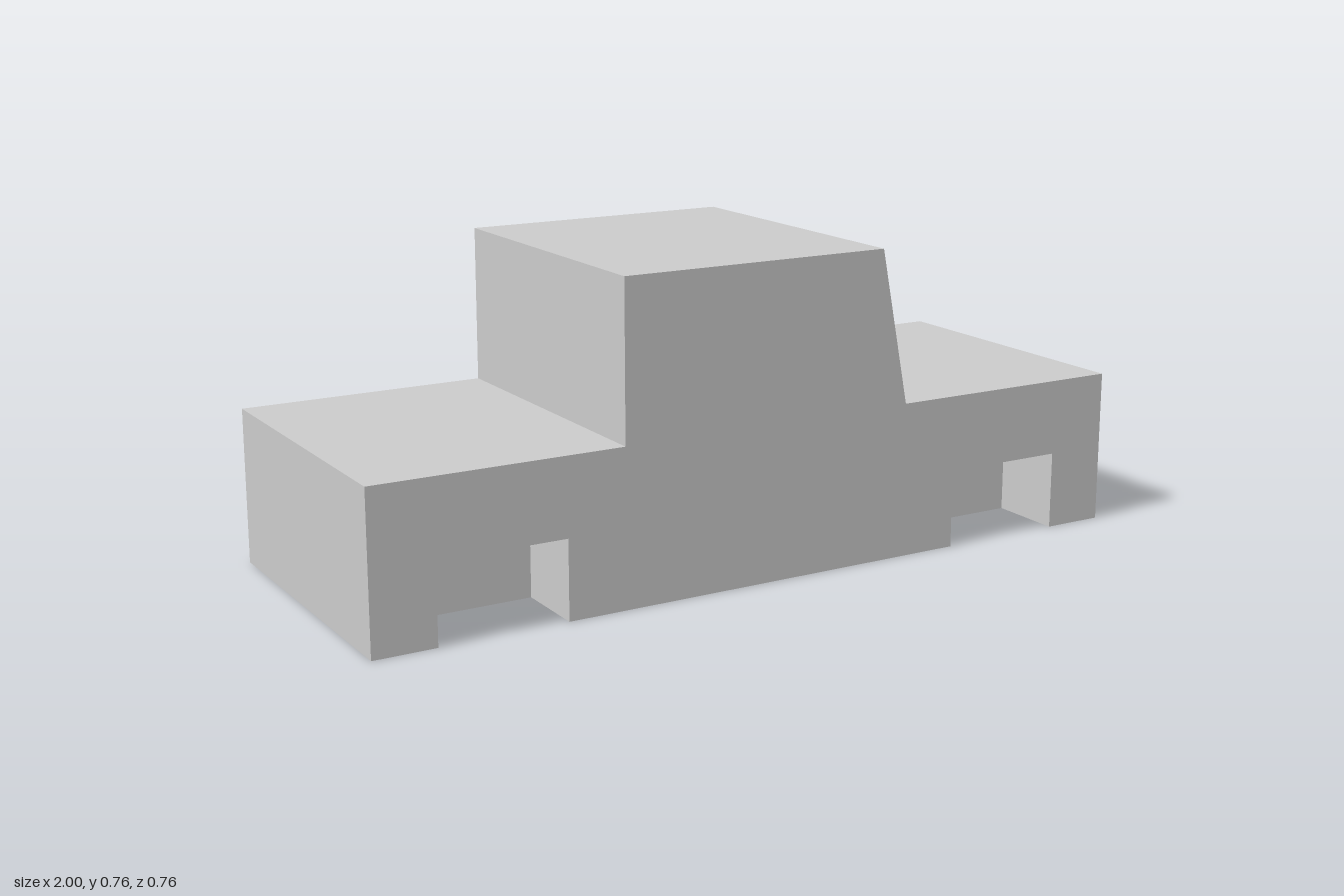
import * as THREE from 'three';

const W = 0.382;                       // half width of the body
const DECK = 0.382, ROOF = 0.764;      // heights of bonnet/boot and roof
const CAB_REAR = -0.385, SCREEN_TOP = 0.307, SCREEN_BASE = 0.382;
const ARCH_X = 0.688, ARCH_HALF = 0.158, ARCH_TOP = 0.193, ARCH_IN = 0.192;

const material = new THREE.MeshStandardMaterial({ color: 0xcccccc, flatShading: true });

// Flat four-cornered faces, corners counter-clockwise from outside
function quads(name, faces) {
  const pos = faces.flatMap(([a, b, c, d]) => [a, b, c, a, c, d].flat());
  const geo = new THREE.BufferGeometry();
  geo.setAttribute('position', new THREE.Float32BufferAttribute(pos, 3));
  geo.computeVertexNormals();
  return named(name, geo);
}

function named(name, geo) {
  const mesh = new THREE.Mesh(geo, material);
  mesh.name = name;
  return mesh;
}

function flat(points) {
  return new THREE.ShapeGeometry(new THREE.Shape(points.map(([x, y]) => new THREE.Vector2(x, y))));
}

// Rectangular notches cut into an edge, walked from +x to -x
function notches(edge, inner) {
  return [ARCH_X, -ARCH_X].flatMap((x) => [
    [x + ARCH_HALF, edge], [x + ARCH_HALF, inner],
    [x - ARCH_HALF, inner], [x - ARCH_HALF, edge],
  ]);
}

// Open-bottomed wheel recess on the +z side, centred on x = 0
function wheelArch() {
  const h = ARCH_HALF, t = ARCH_TOP, i = ARCH_IN;
  return quads('wheelArch', [
    [[-h, t, i], [h, t, i], [h, t, W], [-h, t, W]],
    [[-h, 0, i], [h, 0, i], [h, t, i], [-h, t, i]],
    [[-h, 0, W], [-h, 0, i], [-h, t, i], [-h, t, W]],
    [[h, 0, i], [h, 0, W], [h, t, W], [h, t, i]],
  ]);
}

// Sloped frame around a recessed pane
function windscreen() {
  const ring = (y0, y1, z, depth) => [[y0, z], [y0, -z], [y1, -z], [y1, z]].map(([y, zz]) => {
    const x = THREE.MathUtils.mapLinear(y, DECK, ROOF, SCREEN_BASE, SCREEN_TOP);
    return [x - depth, y, zz];
  });
  const outer = ring(DECK, ROOF, W, 0);
  const inner = ring(0.402, 0.744, 0.342, 0);
  const back = ring(0.402, 0.744, 0.342, 0.055);
  const band = (a, b) => a.map((p, i) => [p, a[(i + 1) % 4], b[(i + 1) % 4], b[i]]);
  const group = new THREE.Group();
  group.name = 'windscreen';
  group.add(
    quads('windscreenFrame', band(outer, inner)),
    quads('windscreenReveal', band(inner, back)),
    quads('windscreenPane', [back]),
  );
  return group;
}

export function createModel() {
  const model = new THREE.Group();
  model.name = 'car';

  // Upper outline from rear to front
  const outline = [
    [-1, 0], [-1, DECK], [CAB_REAR, DECK], [CAB_REAR, ROOF],
    [SCREEN_TOP, ROOF], [SCREEN_BASE, DECK], [1, DECK], [1, 0],
  ];

  // Side walls
  const profile = [...outline, ...notches(0, ARCH_TOP)];
  model.add(named('leftSide', flat(profile).translate(0, 0, W)));
  const mirrored = profile.map(([x, y]) => [-x, y]);
  model.add(named('rightSide', flat(mirrored).translate(0, 0, W).rotateY(Math.PI)));

  // Panels across the body, with the windscreen in its own gap
  const panelNames = ['tail', 'bootDeck', 'cabRear', 'roof', null, 'bonnet', 'nose'];
  panelNames.forEach((name, i) => {
    if (!name) return;
    const p = outline[i], q = outline[i + 1];
    model.add(quads(name, [[[...p, W], [...q, W], [...q, -W], [...p, -W]]]));
  });
  model.add(windscreen());

  // Underside with the four wheel cut-outs
  const floorEdge = [[1, W], ...notches(W, ARCH_IN), [-1, W]];
  const floor = [...floorEdge, ...floorEdge.map(([x, z]) => [-x, -z])];
  model.add(named('underside', flat(floor).rotateX(Math.PI / 2)));

  // Wheel recesses
  for (const x of [-ARCH_X, ARCH_X]) {
    for (const turn of [0, Math.PI]) {
      const arch = wheelArch();
      arch.position.x = x;
      arch.rotation.y = turn;
      model.add(arch);
    }
  }
  return model;
}
